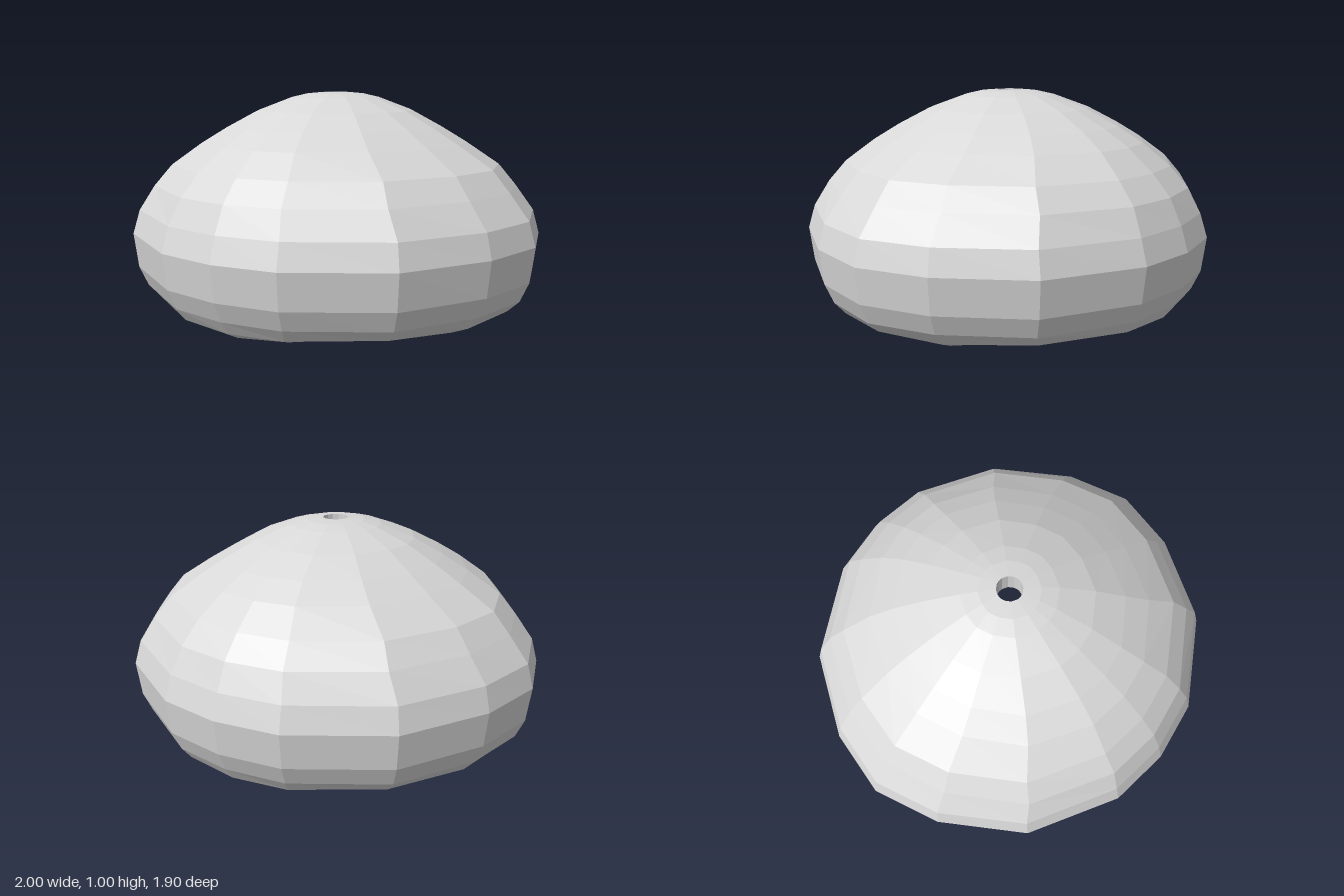
import * as THREE from 'three';

// Quarter of the sixteen-sided plan: [x, z, rim wave height]
const QUARTER = [[1, 0, 0.025], [0.92, 0.337, 0], [0.69, 0.716, 0.033], [0.29, 0.958, 0.014]];

function planColumns() {
  const half = [
    ...QUARTER, [0, 1, 0],
    ...QUARTER.slice(1).reverse().map(([x, z, w]) => [-x, z, w]),
  ];
  return [...half, ...half.map(([x, z, w]) => [-x, -z, w])];
}

// Loft through rings of [y, x radius, z radius, wave amount]
function loft(rings) {
  const cols = planColumns();
  const n = cols.length;
  const positions = [];
  const index = [];
  for (const [y, rx, rz, wave] of rings) {
    for (const [x, z, w] of cols) positions.push(x * rx, y + w * wave, z * rz);
  }
  for (let i = 0; i < rings.length - 1; i++) {
    for (let j = 0; j < n; j++) {
      const k = (j + 1) % n;
      const a = i * n + j, b = i * n + k, c = a + n, d = b + n;
      index.push(a, b, c, b, d, c);
    }
  }
  const geometry = new THREE.BufferGeometry();
  geometry.setAttribute('position', new THREE.Float32BufferAttribute(positions, 3));
  geometry.setIndex(index);
  return flat(geometry);
}

// Faceted normals
function flat(geometry) {
  const g = geometry.toNonIndexed();
  g.computeVertexNormals();
  return g;
}

export function createModel() {
  const model = new THREE.Group();
  model.name = 'hollowDome';
  const grey = new THREE.MeshStandardMaterial({ color: 0xd8d8d8 });
  grey.name = 'light grey';

  const add = (name, geometry) => {
    const mesh = new THREE.Mesh(geometry, grey);
    mesh.name = name;
    model.add(mesh);
    return mesh;
  };

  // Outer shell, from the top hole down to the wavy rim
  const outer = [
    [1.0, 0.06, 0.06, 0], [0.993, 0.14, 0.14, 0], [0.975, 0.22, 0.22, 0],
    [0.915, 0.38, 0.39, 0], [0.84, 0.52, 0.54, 0], [0.77, 0.64, 0.655, 0],
    [0.67, 0.8, 0.775, 0], [0.575, 0.88, 0.86, 0], [0.46, 0.97, 0.915, 0],
    [0.35, 1.0, 0.95, 0], [0.19, 0.98, 0.93, 0], [0.1, 0.94, 0.89, 0],
    [0.04, 0.885, 0.85, 0.3], [0.003, 0.8, 0.785, 1],
  ];
  add('outerShell', loft(outer));

  // Narrow stepped lip around the opening
  const lip = [
    [0.003, 0.8, 0.785, 1], [0.025, 0.77, 0.755, 1],
    [0.05, 0.785, 0.765, 1], [0.08, 0.81, 0.785, 1],
  ];
  add('rimLip', loft(lip));

  // Inner wall and ceiling, from the lip up to the hole
  const inner = [
    [0.08, 0.81, 0.785, 1], [0.17, 0.88, 0.84, 0], [0.36, 0.91, 0.87, 0],
    [0.59, 0.68, 0.66, 0], [0.78, 0.38, 0.38, 0], [0.88, 0.06, 0.06, 0],
  ];
  add('innerWall', loft(inner));

  // Hole through the crown
  add('crownHole', loft([[0.88, 0.06, 0.06, 0], [1.0, 0.06, 0.06, 0]]));

  // Shallow curved ribs hanging from the ceiling, one on each side
  const rib = new THREE.TorusGeometry(0.28, 0.045, 4, 8, Math.PI);
  rib.rotateZ(Math.PI);
  const ribGeometry = flat(rib);
  for (let i = 0; i < 4; i++) {
    const a = i * Math.PI / 2;
    const mesh = add('innerRib', ribGeometry);
    mesh.position.set(Math.sin(a) * 0.54, 0.72, Math.cos(a) * 0.54);
    mesh.rotation.y = a;
  }

  return model;
}
